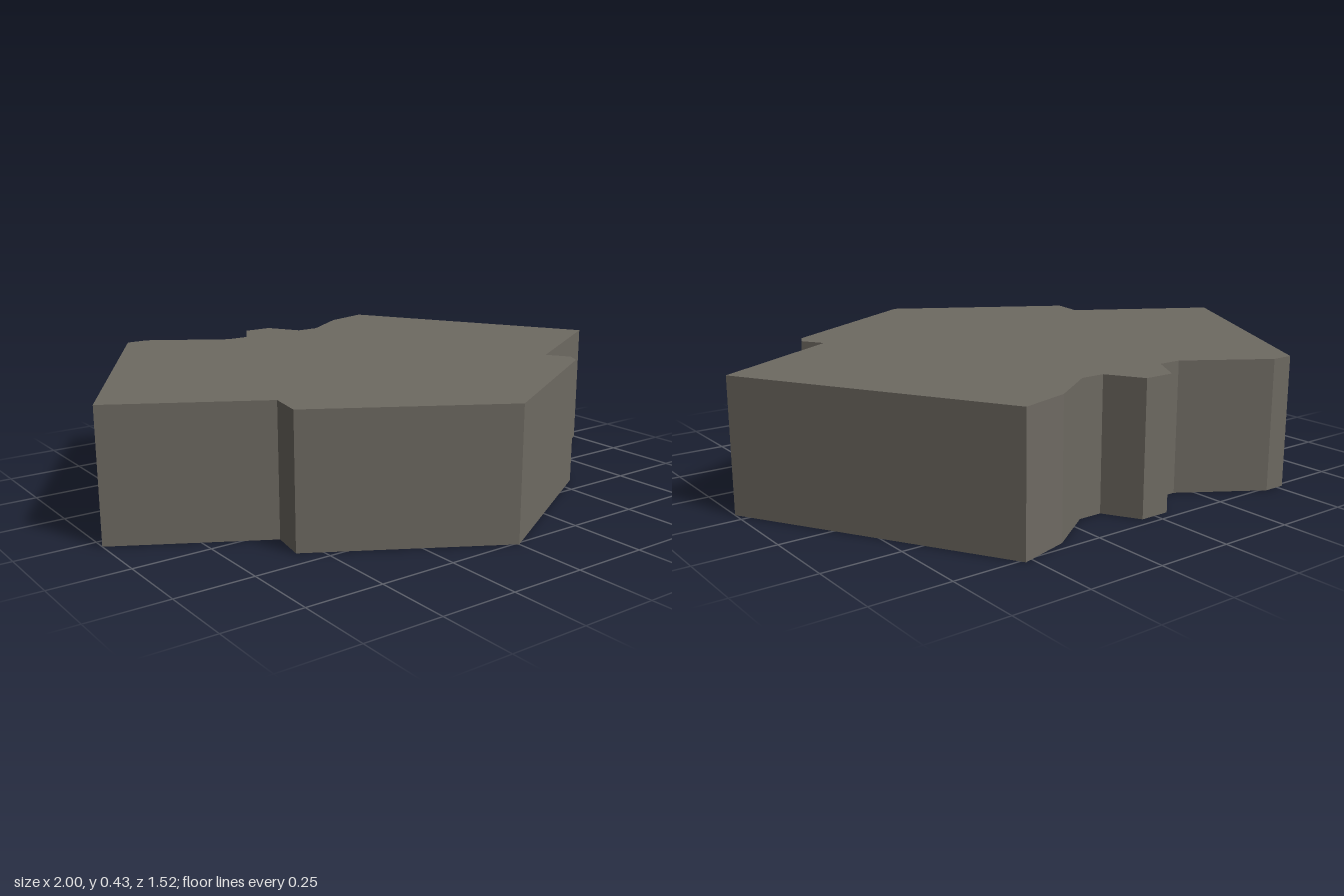
import * as THREE from 'three';

const HEIGHT = 0.43;

// Outline as [x, z], clockwise seen from above
const OUTLINE = [
  [-0.525, -0.765], [-0.45, -0.765], [-0.195, -0.603], [-0.117, -0.603],
  [-0.05, -0.717], [0.05, -0.717], [0.117, -0.603], [0.197, -0.603],
  [0.36, -0.717], [0.525, -0.765], [1, 0.045], [0.548, 0.306],
  [0.594, 0.38], [0.57, 0.427], [0, 0.76], [-0.57, 0.427],
  [-0.548, 0.306], [-1, 0.045],
];

export function createModel() {
  const group = new THREE.Group();
  const stone = new THREE.MeshStandardMaterial({ color: 0x6e6a62, side: THREE.DoubleSide });
  stone.name = 'grey stone';

  // Flat top slab face
  const shape = new THREE.Shape(OUTLINE.map(([x, z]) => new THREE.Vector2(x, -z)));
  const topGeometry = new THREE.ShapeGeometry(shape);
  topGeometry.rotateX(-Math.PI / 2).translate(0, HEIGHT, 0);
  const top = new THREE.Mesh(topGeometry, stone);
  top.name = 'top';
  group.add(top);

  // One flat quad per outline edge; the underside stays open
  const positions = [];
  OUTLINE.forEach(([ax, az], i) => {
    const [bx, bz] = OUTLINE[(i + 1) % OUTLINE.length];
    positions.push(
      bx, 0, bz, ax, 0, az, ax, HEIGHT, az,
      bx, 0, bz, ax, HEIGHT, az, bx, HEIGHT, bz,
    );
  });
  const wallGeometry = new THREE.BufferGeometry();
  wallGeometry.setAttribute('position', new THREE.Float32BufferAttribute(positions, 3));
  wallGeometry.computeVertexNormals();
  const walls = new THREE.Mesh(wallGeometry, stone);
  walls.name = 'walls';
  group.add(walls);

  return group;
}
